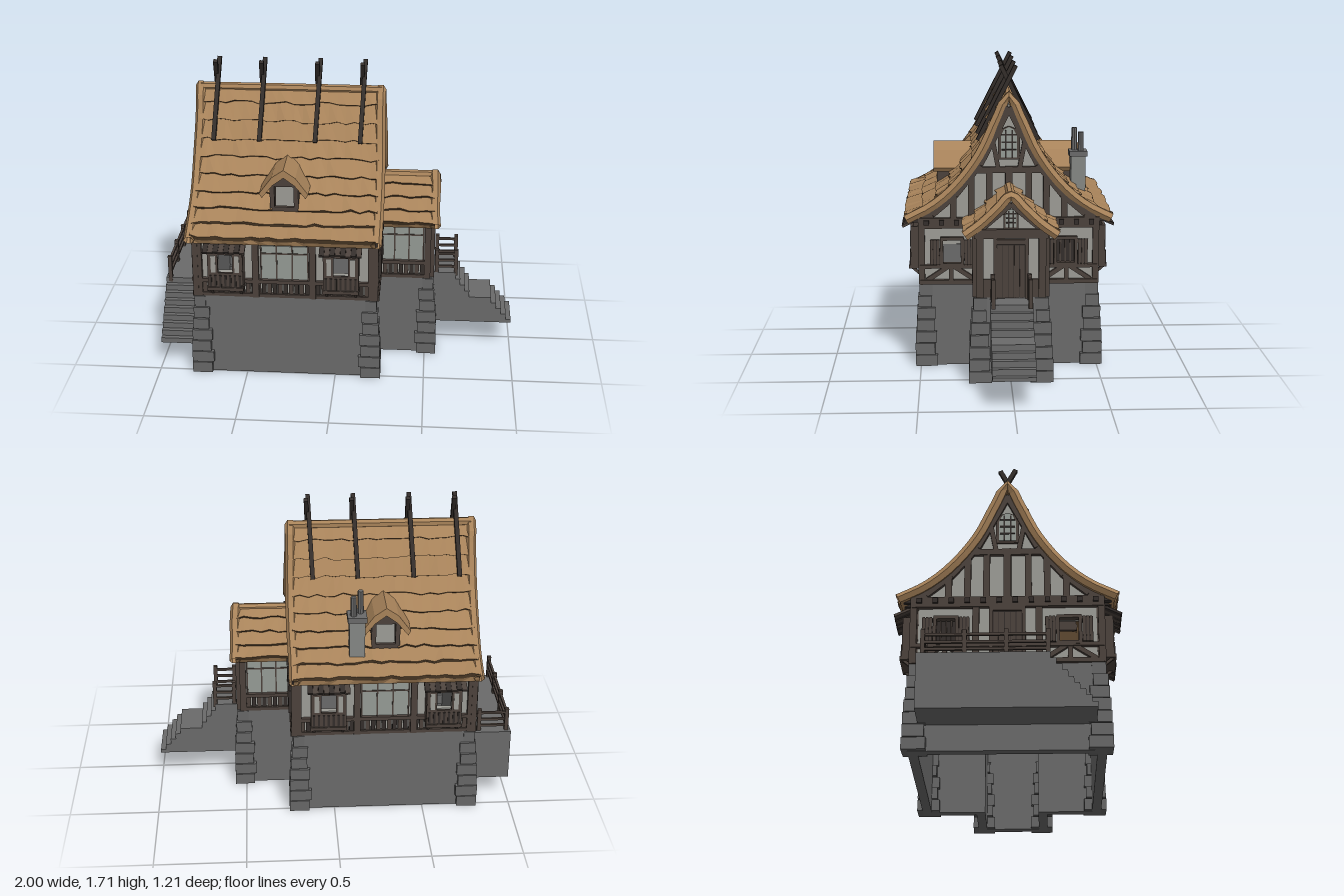
import * as THREE from 'three';

const mat = (name, color, side = THREE.FrontSide) => {
  const m = new THREE.MeshStandardMaterial({ color, side, flatShading: true });
  m.name = name;
  return m;
};
const stone = mat('stone', 0x6a6a6a), quoin = mat('quoin stone', 0x676767), chimneyStone = mat('chimney stone', 0x858784);
const wood = mat('timber', 0x4c423c), darkWood = mat('dark timber', 0x342e2b), plaster = mat('plaster', 0x9d9c96);
const glass = mat('window glass', 0x959b95);
const thatch = mat('thatch', 0xa8835a, THREE.DoubleSide), shade = mat('thatch shade', 0x5e4831, THREE.DoubleSide);

let seed = 7;
const rnd = () => (seed = (seed * 16807) % 2147483647) / 2147483647;
const V = (x, y, z) => new THREE.Vector3(x, y, z);
const lerp = THREE.MathUtils.lerp;

function add(parent, name, geo, m, x = 0, y = 0, z = 0) {
  const mesh = new THREE.Mesh(geo, m);
  mesh.name = name;
  mesh.position.set(x, y, z);
  parent.add(mesh);
  return mesh;
}
const box = (p, name, m, w, h, d, x, y, z) => add(p, name, new THREE.BoxGeometry(w, h, d), m, x, y, z);
// Square bar between two points
function strut(p, name, m, a, b, w, d = w) {
  const dir = b.clone().sub(a), c = a.clone().add(b).multiplyScalar(0.5);
  const mesh = box(p, name, m, w, dir.length(), d, c.x, c.y, c.z);
  mesh.quaternion.setFromUnitVectors(V(0, 1, 0), dir.normalize());
  return mesh;
}
const shapeOf = pts => new THREE.Shape(pts.map(q => new THREE.Vector2(q[0], q[1])));
// Upright slab with rectangular holes [x0, y0, x1, y1]; its outer face lies at z
function panel(p, name, m, pts, holes, depth, z = 0) {
  const s = shapeOf(pts);
  for (const [a, b, c, d] of holes) s.holes.push(new THREE.Path([[a, b], [a, d], [c, d], [c, b]].map(q => new THREE.Vector2(...q))));
  return add(p, name, new THREE.ExtrudeGeometry(s, { depth, bevelEnabled: false }), m, 0, 0, z - depth);
}
// Group facing outward, its z = 0 on the wall surface
function face(root, name, angle, dist) {
  const g = new THREE.Group();
  g.name = name;
  g.rotation.y = angle;
  g.position.set(Math.sin(angle) * dist, 0, Math.cos(angle) * dist);
  root.add(g);
  return g;
}
const mirrored = pts => [...pts.map(([a, b]) => [-a, b]).reverse(), ...pts.slice(1)];

// Layered thatch on a profile of [z, y] from ridge to eave
function thatchRoof(root, name, prof, x0, x1, layers, cols, hole) {
  const g = new THREE.Group();
  g.name = name;
  root.add(g);
  const curve = new THREE.CatmullRomCurve3(prof.map(([z, y]) => V(0, y, z)));
  const at = (u, lift, x, s) => {
    u = Math.min(u, 1);
    const q = curve.getPointAt(u), t = curve.getTangentAt(u);
    return V(x, q.y + t.z * lift, s * Math.max(q.z - t.y * lift, 0));
  };
  const xs = Array.from({ length: cols + 1 }, (_, k) => lerp(x0, x1, k / cols));
  for (const s of [1, -1]) {
    const soup = { top: [], lip: [], under: [] };
    const quad = (key, a, b, c, d) => (s > 0 ? [a, b, c, a, c, d] : [a, c, b, a, d, c]).forEach(v => soup[key].push(v.x, v.y, v.z));
    for (let i = 0; i < layers; i++) {
      const u0 = Math.max(0, (i - 0.3) / layers), u1 = (i + 1) / layers;
      const rows = xs.map(x => {
        const e = u1 + (rnd() - 0.6) * 0.2 / layers;
        return [at(u0, 0, x, s), at(e, 0.02 + rnd() * 0.01, x, s), at(e, -0.006, x, s), at(i / layers, -0.035, x, s), at(u1, -0.035, x, s)];
      });
      for (let k = 0; k < cols; k++) {
        const mid = (xs[k] + xs[k + 1]) / 2, a = rows[k], b = rows[k + 1];
        if (hole && hole.layers.includes(i) && mid > hole.x0 && mid < hole.x1) continue;
        quad('top', a[0], a[1], b[1], b[0]);
        quad('lip', a[1], a[2], b[2], b[1]);
        quad('under', a[3], b[3], b[4], a[4]);
        if (i === layers - 1) quad('under', a[2], a[4], b[4], b[2]);
      }
    }
    for (const [key, m] of [['top', thatch], ['lip', shade], ['under', thatch]]) {
      const geo = new THREE.BufferGeometry();
      geo.setAttribute('position', new THREE.Float32BufferAttribute(soup[key], 3));
      geo.computeVertexNormals();
      add(g, 'thatch ' + key, geo, m);
    }
  }
  // Rolled gable edges and ridge
  for (const x of [x0, x1]) {
    const path = new THREE.CatmullRomCurve3(mirrored(prof).map(([z, y]) => V(x + (rnd() - 0.5) * 0.01, y - 0.008, z)));
    add(g, 'gable roll', new THREE.TubeGeometry(path, 30, 0.03, 6), thatch);
  }
  const ridge = add(g, 'ridge roll', new THREE.CylinderGeometry(0.025, 0.025, x1 - x0, 7, 6), thatch, (x0 + x1) / 2, prof[0][1] - 0.012, 0);
  ridge.rotation.z = Math.PI / 2;
}

// Timbered wall strip with posts, board dado and glazing from a to b
function longWall(g, a, b, posts, glazed, holes) {
  panel(g, 'plaster wall', plaster, [[a, 0.48], [b, 0.48], [b, 0.86], [a, 0.86]], holes, 0.03);
  for (const u of posts) box(g, 'post', wood, 0.036, 0.38, 0.04, u, 0.67, 0.005);
  for (const [y, h] of [[0.49, 0.02], [0.575, 0.022], [0.825, 0.05]]) box(g, 'beam', wood, b - a, h, 0.03, (a + b) / 2, y, 0.005);
  const n = Math.round((b - a) / 0.03);
  for (let i = 0; i < n; i++) box(g, 'dado board', i % 2 ? wood : darkWood, 0.024, 0.08, 0.016, a + (i + 0.5) * (b - a) / n, 0.53, 0.004);
  for (const [p, q] of glazed) {
    box(g, 'glass', glass, q - p, 0.2, 0.008, (p + q) / 2, 0.69, 0.002);
    for (let i = 0; i <= 3; i++) box(g, 'mullion', wood, 0.008, 0.21, 0.012, lerp(p, q, i / 3), 0.69, 0.004);
    box(g, 'transom', wood, q - p, 0.008, 0.012, (p + q) / 2, 0.745, 0.004);
  }
}
// Projecting open window box under a tiled awning
function bay(g, u) {
  const b = new THREE.Group();
  b.name = 'window bay';
  b.position.x = u;
  g.add(b);
  panel(b, 'bay front', wood, [[-0.095, 0.55], [0.095, 0.55], [0.095, 0.79], [-0.095, 0.79]], [[-0.04, 0.65, 0.04, 0.76]], 0.015, 0.075);
  box(b, 'bay floor', wood, 0.2, 0.02, 0.09, 0, 0.555, 0.04);
  for (const s of [-1, 1]) {
    box(b, 'bay side', wood, 0.015, 0.24, 0.075, s * 0.09, 0.67, 0.035);
    strut(b, 'bracket', wood, V(s * 0.08, 0.49, 0), V(s * 0.08, 0.555, 0.075), 0.015);
    box(b, 'pane post', plaster, 0.026, 0.1, 0.006, s * 0.065, 0.705, 0.075);
  }
  for (let i = 0; i < 7; i++) box(b, 'bay board', darkWood, 0.012, 0.075, 0.008, (i - 3) * 0.027, 0.6, 0.077);
  for (let i = 0; i < 8; i++) strut(b, 'awning tile', i % 2 ? wood : darkWood, V((i - 3.5) * 0.029, 0.855, -0.01), V((i - 3.5) * 0.029, 0.79 + rnd() * 0.008, 0.12), 0.028, 0.014);
}
function dormer(g, u) {
  const d = new THREE.Group();
  d.name = 'dormer';
  d.position.set(u, 0, -0.48);
  g.add(d);
  panel(d, 'dormer front', wood, [[-0.078, 0.94], [0.078, 0.94], [0.078, 1.12], [0, 1.19], [-0.078, 1.12]], [[-0.053, 0.99, 0.053, 1.11]], 0.02, 0.405);
  for (const s of [-1, 1]) box(d, 'dormer cheek', wood, 0.015, 0.18, 0.14, s * 0.07, 1.03, 0.325);
  panel(d, 'dormer thatch', thatch, [[-0.135, 1.075], [-0.12, 1.05], [-0.06, 1.125], [0, 1.17], [0.06, 1.125], [0.12, 1.05], [0.135, 1.075], [0.065, 1.17], [0, 1.215], [-0.065, 1.17]], [], 0.24, 0.425);
}
function door(g) {
  box(g, 'door', darkWood, 0.15, 0.31, 0.02, 0, 0.63, 0.005);
  for (let i = -2; i <= 2; i++) box(g, 'door plank', wood, 0.026, 0.29, 0.012, i * 0.03, 0.625, 0.013);
  for (const s of [-1, 1]) box(g, 'door jamb', wood, 0.02, 0.34, 0.04, s * 0.085, 0.64, 0.005);
  box(g, 'door lintel', wood, 0.19, 0.025, 0.04, 0, 0.79, 0.005);
}
// Pointed-arch lattice window
function archWindow(g, y, w, h) {
  const s = [[-w, 0], [w, 0], [w, h * 0.7], [w * 0.6, h * 0.92], [0, h], [-w * 0.6, h * 0.92], [-w, h * 0.7]];
  panel(g, 'arch frame', wood, s.map(([a, b]) => [a * 1.35, y - 0.012 + b * 1.1]), [], 0.02, 0.012);
  panel(g, 'arch glass', glass, s.map(([a, b]) => [a, y + b]), [], 0.006, 0.016);
  for (const k of [-0.4, 0.4]) box(g, 'lattice', darkWood, 0.008, h * 0.9, 0.006, k * w, y + h * 0.45, 0.018);
  for (const k of [0.25, 0.5, 0.75]) box(g, 'lattice', darkWood, w * 1.8, 0.008, 0.006, 0, y + h * k, 0.018);
}
const gable = [[0, 1.5], [0.07, 1.36], [0.163, 1.18], [0.3, 1.01], [0.43, 0.9], [0.48, 0.87]];
function endWall(g, open, withDoor) {
  panel(g, 'gable wall', plaster, [[-0.48, 0.48], [0.48, 0.48], ...mirrored(gable).reverse()], [[-0.375, 0.59, -0.265, 0.735], [0.265, 0.59, 0.375, 0.735]], 0.03);
  for (const [y, h] of [[0.49, 0.025], [0.58, 0.02], [0.83, 0.06]]) box(g, 'cross beam', wood, 1, h, 0.04, 0, y, 0.005);
  box(g, 'collar beam', wood, 0.38, 0.035, 0.03, 0, 1.13, 0.005);
  box(g, 'king post', wood, 0.04, 0.3, 0.03, 0, 1.0, 0.005);
  archWindow(g, 1.2, 0.045, 0.17);
  for (let i = 0; i < 12; i++) box(g, 'joist end', darkWood, 0.028, 0.028, 0.03, (i - 5.5) * 0.084, 0.835, 0.022);
  for (const s of [-1, 1]) {
    const bar = (a, b, c, d, w = 0.025) => strut(g, 'timber brace', wood, V(s * a, b, 0.004), V(s * c, d, 0.004), w, 0.03);
    for (let i = 0; i < 5; i++) bar(gable[i][0], gable[i][1] - 0.02, gable[i + 1][0], gable[i + 1][1] - 0.02, 0.04);
    for (const [u, y0, y1] of [[0.49, 0.48, 0.86], [0.165, 0.48, 0.86], [0.21, 0.85, 1.11], [0.31, 0.85, 0.99], [0.11, 0.85, 1.13]]) bar(u, y0, u, y1, 0.036);
    bar(0.46, 0.5, 0.34, 0.58);
    bar(0.19, 0.5, 0.31, 0.58);
    bar(0.325, 0.5, 0.325, 0.58);
    bar(0.06, 1.14, 0.09, 1.3);
    // Window frame and shutters
    for (const y of [0.59, 0.74]) box(g, 'window rail', wood, 0.13, 0.018, 0.035, s * 0.32, y, 0.008);
    for (const k of [-1, 1]) {
      box(g, 'window jamb', wood, 0.018, 0.15, 0.035, s * 0.32 + k * 0.058, 0.665, 0.008);
      box(g, 'shutter', darkWood, 0.055, 0.14, 0.015, s * 0.32 + k * 0.096, 0.665, 0.022);
      for (const j of [-1, 0, 1]) box(g, 'shutter slat', wood, 0.013, 0.145, 0.01, s * 0.32 + k * 0.096 + j * 0.018, 0.665, 0.028);
    }
    if (s !== open) {
      box(g, 'glass', darkWood, 0.11, 0.145, 0.008, s * 0.32, 0.663, -0.01);
      for (const k of [-1, 0, 1]) box(g, 'window bar', wood, 0.008, 0.145, 0.01, s * 0.32 + k * 0.028, 0.663, -0.004);
    }
  }
  if (withDoor) door(g);
}
// Stair profile points descending from (x0, y0) to (x1, y1)
const steps = (x0, y0, x1, y1, n) => Array.from({ length: n }, (_, i) => [[lerp(x0, x1, i / n), lerp(y0, y1, (i + 1) / n)], [lerp(x0, x1, (i + 1) / n), lerp(y0, y1, (i + 1) / n)]]).flat();
function railing(root, pts, h) {
  pts.forEach((p, i) => {
    box(root, 'railing post', wood, 0.022, h + 0.03, 0.022, p.x, p.y + h / 2, p.z);
    if (i) for (const k of [0.3, 0.6, 0.92]) strut(root, 'railing bar', wood, pts[i - 1].clone().setY(pts[i - 1].y + h * k), p.clone().setY(p.y + h * k), 0.013);
  });
}

export function createModel() {
  const root = new THREE.Group();
  root.name = 'timbered house';

  // Hollow stone base
  const outline = k => [[-0.78 + k, -0.5 + k], [0.225 - k, -0.5 + k], [0.225 - k, -0.2 + k], [0.535 - k, -0.2 + k], [0.535 - k, 0.2 - k], [0.225 - k, 0.2 - k], [0.225 - k, 0.5 - k], [-0.78 + k, 0.5 - k]];
  const plan = shapeOf(outline(0));
  plan.holes.push(new THREE.Path(outline(0.05).reverse().map(q => new THREE.Vector2(...q))));
  add(root, 'stone base', new THREE.ExtrudeGeometry(plan, { depth: 0.48, bevelEnabled: false }).rotateX(-Math.PI / 2), stone);
  // Battered corner stones
  for (const [cx, sx, cz] of [[-0.78, -1, 0.5], [0.225, 1, 0.5], [0.535, 1, 0.2]]) for (const sz of [-1, 1]) for (let i = 0; i < 7; i++) {
    const t = i / 6, out = lerp(0.03, 0.006, t * t), w = lerp(0.112, 0.062, t * t), a = w + (i % 2) * 0.012, b = w + ((i + 1) % 2) * 0.012;
    box(root, 'corner stone', quoin, a, 0.064, b, cx + sx * (out - a / 2), 0.034 + i * 0.0685, sz * (cz + out - b / 2)).rotation.y = (rnd() - 0.5) * 0.06;
  }

  // Long walls, bays, dormers and porch sides
  for (const s of [1, -1]) {
    const ang = s > 0 ? 0 : Math.PI, g = face(root, s > 0 ? 'front wall' : 'back wall', ang, 0.48);
    const span = (a, b) => s > 0 ? [a, b] : [-b, -a];
    const bays = [-0.6 * s, 0.035 * s];
    longWall(g, ...span(-0.77, 0.22), [-0.755, -0.44, -0.125, 0.2].map(u => u * s), [span(-0.41, -0.15)], bays.map(u => [u - 0.05, 0.62, u + 0.05, 0.775]));
    bays.forEach(u => bay(g, u));
    dormer(g, -0.285 * s);
    for (let i = 0; i < 22; i++) box(g, 'rafter end', darkWood, 0.024, 0.03, 0.08, s * (-0.765 + i * 0.047), 0.85, 0.035);
    const p = face(root, 'porch side', ang, 0.185);
    longWall(p, ...span(0.22, 0.52), [0.505 * s], [span(0.235, 0.48)], []);
  }

  // End walls and porch front
  endWall(face(root, 'right end', Math.PI / 2, 0.22), -1, false);
  endWall(face(root, 'left end', -Math.PI / 2, 0.77), 1, true);
  const porch = face(root, 'porch front', Math.PI / 2, 0.52);
  panel(porch, 'porch wall', plaster, [[-0.185, 0.48], [0.185, 0.48], [0.185, 0.85], [0, 1.02], [-0.185, 0.85]], [], 0.03);
  door(porch);
  archWindow(porch, 0.87, 0.03, 0.1);
  box(porch, 'porch beam', wood, 0.4, 0.05, 0.045, 0, 0.835, 0.005);
  for (const s of [-1, 1]) {
    box(porch, 'porch post', wood, 0.04, 0.38, 0.045, s * 0.17, 0.67, 0.002);
    strut(porch, 'porch rafter', wood, V(0, 1.0, 0.005), V(s * 0.2, 0.83, 0.005), 0.035);
    box(porch, 'porch dado', wood, 0.07, 0.1, 0.015, s * 0.125, 0.53, 0.004);
  }

  // Thatched roofs
  thatchRoof(root, 'main roof', [[0, 1.55], [0.07, 1.42], [0.163, 1.225], [0.3, 1.045], [0.43, 0.935], [0.575, 0.86]], -0.785, 0.225, 9, 21, { layers: [5, 6], x0: -0.36, x1: -0.21 });
  thatchRoof(root, 'porch roof', [[0, 1.05], [0.07, 0.985], [0.16, 0.9], [0.25, 0.835]], 0.2, 0.54, 4, 7);
  // Crossed ridge poles
  for (const x of [-0.7, -0.445, -0.135, 0.115]) for (const s of [-1, 1])
    strut(root, 'ridge pole', darkWood, V(x - 0.006 + s * 0.006, 1.28, s * 0.17), V(x + 0.012 + s * 0.006, 1.7, s * -0.042), 0.024);

  // Chimney
  box(root, 'chimney', chimneyStone, 0.085, 0.3, 0.085, -0.125, 1.01, -0.415);
  box(root, 'chimney cap', stone, 0.105, 0.03, 0.105, -0.125, 1.165, -0.415);
  for (const [x, z, h] of [[-0.145, -0.395, 0.13], [-0.105, -0.43, 0.11]])
    add(root, 'chimney pot', new THREE.CylinderGeometry(0.016, 0.018, h, 8), stone, x, 1.18 + h / 2, z);

  // Entrance stair and side landing
  const front = [[0.53, 0.16], [0.53, 0.475], [0.67, 0.475], ...steps(0.67, 0.475, 0.78, 0.32, 4), [0.88, 0.32], ...steps(0.88, 0.32, 1, 0.18, 4), [1, 0.16]];
  panel(root, 'entrance stair', stone, front, [], 0.23, 0.115);
  const side = [[-0.45, 0.14], [-0.45, 0.44], [0.22, 0.44], ...steps(0.22, 0.44, 0.45, 0.17, 8), [0.45, 0.14]];
  add(root, 'side landing', new THREE.ExtrudeGeometry(shapeOf(side), { depth: 0.23, bevelEnabled: false }).rotateY(-Math.PI / 2), stone, -0.77, 0, 0);
  for (const s of [-1, 1]) railing(root, [V(0.56, 0.47, s * 0.1), V(0.67, 0.47, s * 0.1)], 0.13);
  railing(root, [V(-0.82, 0.43, -0.42), V(-0.975, 0.43, -0.42), V(-0.975, 0.43, -0.21), V(-0.975, 0.43, 0), V(-0.975, 0.43, 0.21)], 0.13);
  return root;
}
